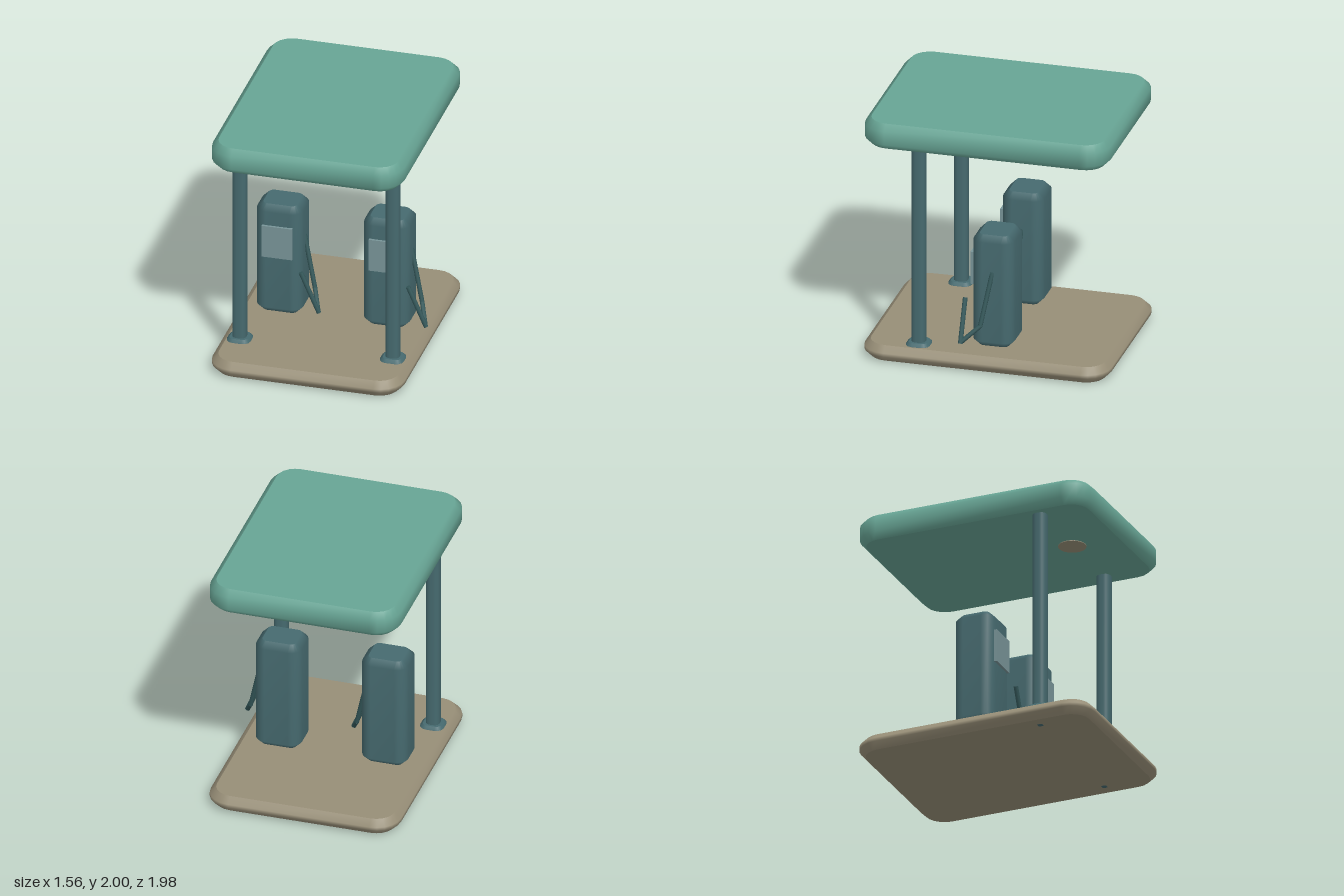
import * as THREE from 'three';

const mat = (name, color, extra = {}) => new THREE.MeshStandardMaterial({ name, color, ...extra });

// Rounded-rectangle solid: smooth sides lofted through [y, inset] rings, flat caps.
function roundedSolid(w, d, radius, rings, cornerSteps = 5) {
  const positions = [], index = [];
  const n = 4 * (cornerSteps + 1);
  const ring = ([y, inset]) => {
    const r = Math.max(radius - inset, 0.005);
    const points = [];
    for (let c = 0; c < 4; c++) {
      const sx = c === 0 || c === 3 ? 1 : -1;
      const sz = c < 2 ? -1 : 1;
      for (let s = 0; s <= cornerSteps; s++) {
        const a = (c + s / cornerSteps) * Math.PI / 2;
        points.push([
          sx * (w / 2 - inset - r) + r * Math.cos(a),
          y,
          sz * (d / 2 - inset - r) - r * Math.sin(a),
        ]);
      }
    }
    return points;
  };
  rings.forEach((row, j) => {
    ring(row).forEach((p) => positions.push(...p));
    if (j === 0) return;
    for (let i = 0; i < n; i++) {
      const k = (i + 1) % n, lo = (j - 1) * n, hi = j * n;
      index.push(lo + i, lo + k, hi + k, lo + i, hi + k, hi + i);
    }
  });
  // Caps have their own vertices so their edges stay sharp
  [rings[0], rings[rings.length - 1]].forEach((row, top) => {
    const start = positions.length / 3;
    ring(row).forEach((p) => positions.push(...p));
    for (let i = 1; i < n - 1; i++) {
      if (top) index.push(start, start + i, start + i + 1);
      else index.push(start, start + i + 1, start + i);
    }
  });
  const g = new THREE.BufferGeometry();
  g.setAttribute('position', new THREE.Float32BufferAttribute(positions, 3));
  g.setIndex(index);
  g.computeVertexNormals();
  return g;
}

// Same solid with equal chamfers at top and bottom
const chamfered = (w, d, radius, y0, y1, b) =>
  roundedSolid(w, d, radius, [[y0, b], [y0 + b, 0], [y1 - b, 0], [y1, b]]);

function part(name, geometry, material, x = 0, y = 0, z = 0) {
  const m = new THREE.Mesh(geometry, material);
  m.name = name;
  m.position.set(x, y, z);
  return m;
}

// Round rod between two points
function rod(name, a, b, radius, material) {
  const from = new THREE.Vector3(...a), to = new THREE.Vector3(...b);
  const dir = to.clone().sub(from);
  const m = part(name, new THREE.CylinderGeometry(radius, radius, dir.length(), 8), material);
  m.position.copy(from).add(to).multiplyScalar(0.5);
  m.quaternion.setFromUnitVectors(new THREE.Vector3(0, 1, 0), dir.normalize());
  return m;
}

export function createModel() {
  const green = mat('canopy green', 0x67a494);
  const sand = mat('base sand', 0x978e77);
  const teal = mat('pump teal', 0x466a6f);
  const grey = mat('screen grey', 0x789498);
  const dark = mat('hose dark teal', 0x34585a);

  const model = new THREE.Group();
  model.name = 'fuelStation';

  // Ground slab and canopy roof
  model.add(part('baseSlab', chamfered(1.54, 1.975, 0.2, 0, 0.13, 0.05), sand, -0.01));
  model.add(part('canopy', chamfered(1.54, 1.965, 0.2, 1.79, 2, 0.05), green, -0.01));

  // Flat disc under the canopy
  model.add(part('canopyDisc', new THREE.CylinderGeometry(0.11, 0.11, 0.006, 24), sand, -0.015, 1.788, 0.545));

  // Posts with flared feet
  const postGeo = roundedSolid(0.11, 0.11, 0.04, [[-0.002, 0.036], [0.03, 0], [1.8, 0]], 3);
  const footGeo = roundedSolid(0.19, 0.19, 0.06, [[0.12, 0], [0.135, 0], [0.155, 0.022]], 3);
  for (const x of [-0.63, 0.6]) {
    model.add(part('post', postGeo, teal, x, 0, 0.545));
    model.add(part('postFoot', footGeo, teal, x, 0, 0.545));
  }

  // Pumps, each with a screen, hose and nozzle
  const bodyGeo = chamfered(0.37, 0.33, 0.09, 0.15, 1.085, 0.05);
  const screenGeo = new THREE.BoxGeometry(0.245, 0.27, 0.03);
  const jointGeo = new THREE.SphereGeometry(0.018, 8, 6);
  const hose = [[0.172, 0.79, -0.04], [0.275, 0.37, 0.03], [0.34, 0.245, 0.168]];
  for (const x of [-0.445, 0.415]) {
    const pump = new THREE.Group();
    pump.name = 'pump';
    pump.position.x = x;
    pump.add(part('pumpBody', bodyGeo, teal, 0, 0, -0.035));
    pump.add(part('screen', screenGeo, grey, 0, 0.785, 0.135));
    pump.add(rod('hoseUpper', hose[0], hose[1], 0.018, dark));
    pump.add(rod('hoseLower', hose[1], hose[2], 0.018, dark));
    pump.add(part('hoseJoint', jointGeo, dark, ...hose[1]));
    pump.add(rod('nozzle', [0.345, 0.235, 0.17], [0.2, 0.565, 0.17], 0.019, dark));
    model.add(pump);
  }
  return model;
}
